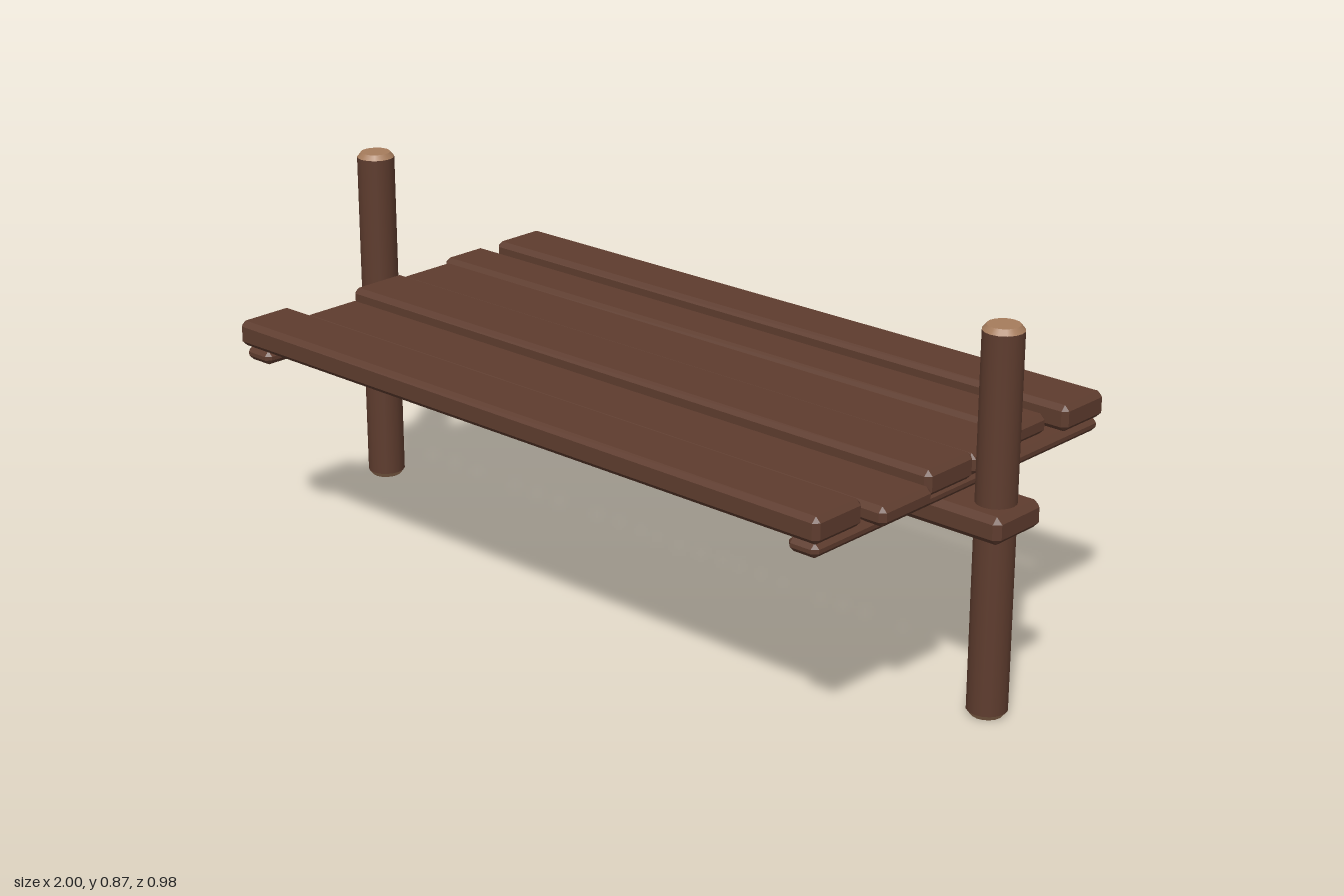
import * as THREE from 'three';
import { ConvexGeometry } from 'three/addons/geometries/ConvexGeometry.js';

const wood = new THREE.MeshStandardMaterial({ color: 0x5e3c2e });
wood.name = 'dark wood';
const cutWood = new THREE.MeshStandardMaterial({ color: 0xa67c5c });
cutWood.name = 'cut wood';

// Box between two limits per axis, with every edge chamfered by c
function chamferedBar(name, [x0, x1], [y0, y1], [z0, z1], c) {
  const w = (x1 - x0) / 2, h = (y1 - y0) / 2, d = (z1 - z0) / 2;
  const points = [];
  for (const sx of [-1, 1]) for (const sy of [-1, 1]) for (const sz of [-1, 1]) {
    points.push(
      new THREE.Vector3(sx * w, sy * (h - c), sz * (d - c)),
      new THREE.Vector3(sx * (w - c), sy * h, sz * (d - c)),
      new THREE.Vector3(sx * (w - c), sy * (h - c), sz * d));
  }
  const mesh = new THREE.Mesh(new ConvexGeometry(points), wood);
  mesh.position.set((x0 + x1) / 2, (y0 + y1) / 2, (z0 + z1) / 2);
  mesh.name = name;
  return mesh;
}

// Round post with pale, bevelled cut ends
function post(name, x, y0, y1) {
  const r = 0.045, bevel = 0.012, sides = 16;
  const group = new THREE.Group();
  group.name = name;
  const shaft = new THREE.Mesh(
    new THREE.CylinderGeometry(r, r, y1 - y0 - 2 * bevel, sides, 1, true), wood);
  shaft.position.y = (y0 + y1) / 2;
  shaft.name = 'shaft';
  const top = new THREE.Mesh(new THREE.CylinderGeometry(r - bevel * 0.8, r, bevel, sides), cutWood);
  top.position.y = y1 - bevel / 2;
  top.name = 'topCut';
  const bottom = new THREE.Mesh(new THREE.CylinderGeometry(r, r - bevel * 0.8, bevel, sides), cutWood);
  bottom.position.y = y0 + bevel / 2;
  bottom.name = 'bottomCut';
  group.add(shaft, top, bottom);
  group.position.set(x, 0, -0.01);
  return group;
}

export function createModel() {
  const model = new THREE.Group();
  model.name = 'plankTable';

  // Posts and the long beam joining them
  model.add(post('leftPost', 0.935, 0, 0.87), post('rightPost', -0.94, 0.035, 0.87));
  model.add(chamferedBar('beam', [-1, 1], [0.422, 0.484], [-0.086, 0.07], 0.014));

  // Battens under the planks
  model.add(chamferedBar('leftBatten', [0.783, 0.86], [0.485, 0.518], [-0.485, 0.48], 0.012));
  model.add(chamferedBar('rightBatten', [-0.865, -0.785], [0.485, 0.518], [-0.485, 0.48], 0.012));

  // Planks from front to back: x shift, top and bottom, front and back edge
  const planks = [
    [-0.002, 0.52, 0.58, 0.342, 0.49],
    [0.032, 0.516, 0.56, 0.16, 0.325],
    [0.008, 0.52, 0.579, -0.008, 0.148],
    [-0.002, 0.517, 0.566, -0.18, -0.012],
    [-0.033, 0.52, 0.566, -0.32, -0.19],
    [-0.002, 0.52, 0.58, -0.488, -0.342],
  ];
  planks.forEach(([dx, y0, y1, z0, z1], i) => {
    model.add(chamferedBar(`plank${i + 1}`, [dx - 0.872, dx + 0.872], [y0, y1], [z0, z1], 0.012));
  });
  // The third plank sits in line with the right view of the deck
  return model;
}
